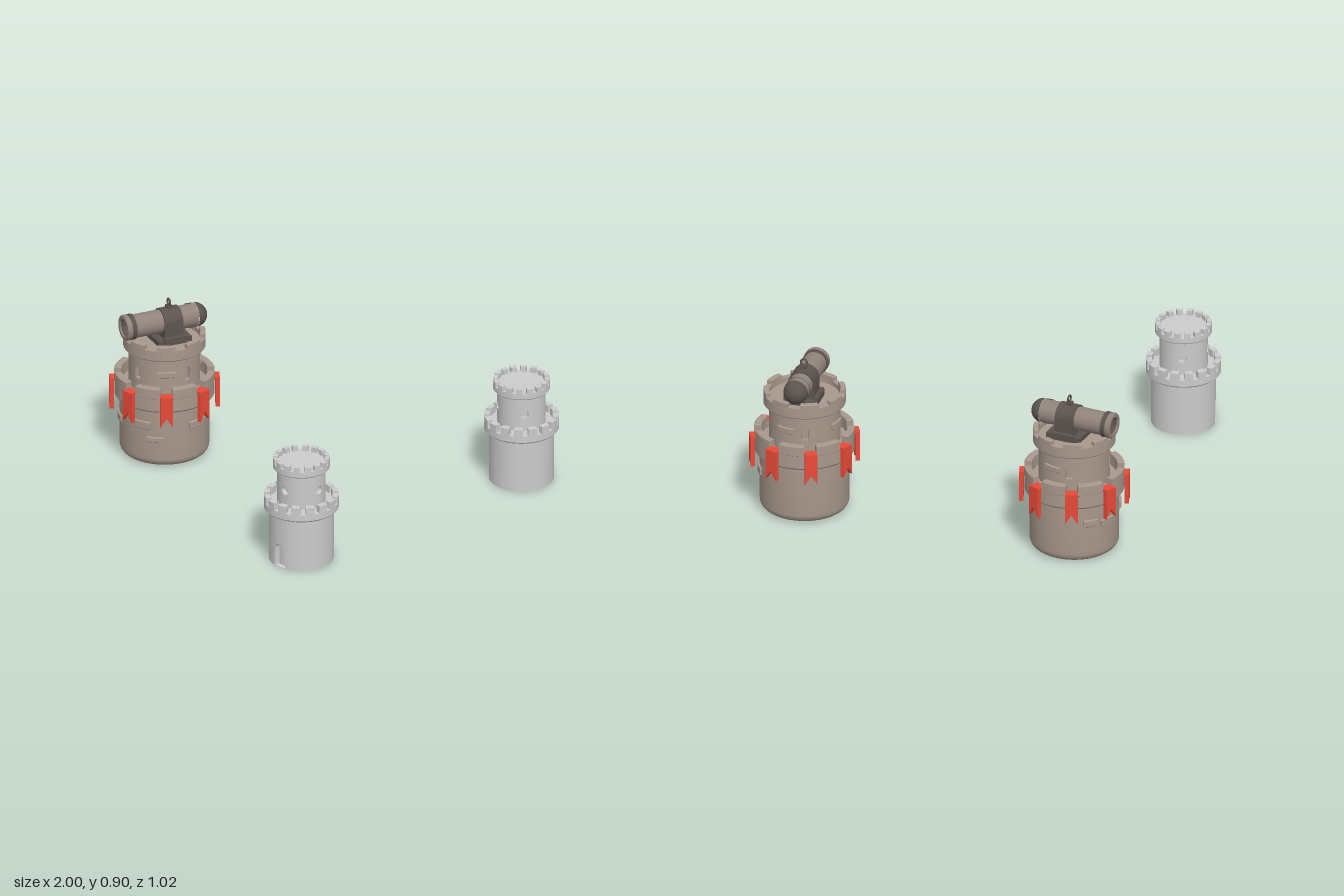
import * as THREE from 'three';
import { toCreasedNormals } from 'three/addons/utils/BufferGeometryUtils.js';

const TAU = Math.PI * 2, DEG = Math.PI / 180;
const mat = (color) => new THREE.MeshStandardMaterial({ color });
const stone = mat(0xcccccc), brown = mat(0xa8988c), barrelMat = mat(0x91837b), iron = mat(0x5c534e), red = mat(0xe84a38);

function add(parent, name, geometry, material, x = 0, y = 0, z = 0) {
  const mesh = new THREE.Mesh(geometry, material);
  mesh.name = name;
  mesh.position.set(x, y, z);
  parent.add(mesh);
  return mesh;
}

function lathe(points, segments = 64) {
  return toCreasedNormals(new THREE.LatheGeometry(points.map((p) => new THREE.Vector2(...p)), segments), 0.6);
}

// Curved block: ring sector centred on angle a (0 = front, 90 = +x), in degrees
function sector(r0, r1, y0, y1, a, span, bevel = 0.003) {
  const pts = [], n = 6;
  const at = (r, k) => {
    const t = (a + span * (k / n - 0.5)) * DEG;
    return new THREE.Vector2(r * Math.sin(t), -r * Math.cos(t));
  };
  for (let k = 0; k <= n; k++) pts.push(at(r1 - bevel, k));
  for (let k = n; k >= 0; k--) pts.push(at(r0 + bevel, k));
  const g = new THREE.ExtrudeGeometry(new THREE.Shape(pts), {
    depth: y1 - y0 - 2 * bevel, bevelEnabled: true, bevelSize: bevel, bevelThickness: bevel, bevelSegments: 1,
  });
  g.rotateX(-Math.PI / 2).translate(0, y0 + bevel, 0);
  return toCreasedNormals(g, 0.5);
}

const arch = (deg, w, y0, top) => ({ a: deg * DEG, w, lo: () => y0, hi: (x) => top - w + Math.sqrt(Math.max(0, w * w - x * x)) });
const round = (deg, w, y) => ({
  a: deg * DEG, w,
  lo: (x) => y - Math.sqrt(Math.max(0, w * w - x * x)),
  hi: (x) => y + Math.sqrt(Math.max(0, w * w - x * x)),
});

// Round wall with recessed openings, built column by column
function wall(R, y0, y1, depth, openings) {
  const cols = [], pos = [], Ri = R - depth;
  for (let i = 0; i <= 64; i++) {
    const t = -0.3 + (TAU * i) / 64;
    if (!openings.some((o) => Math.abs(t - o.a) < Math.asin(o.w / R) + 1e-4)) cols.push(t);
  }
  for (const o of openings) {
    for (let k = 0; k <= 14; k++) cols.push(o.a + Math.asin((-o.w * Math.cos((k * Math.PI) / 14)) / R));
  }
  cols.sort((a, b) => a - b);
  const quad = (...c) => {
    const p = c.map(([r, t, y]) => [r * Math.sin(t), y, r * Math.cos(t)]);
    for (const i of [0, 1, 2, 0, 2, 3]) pos.push(...p[i]);
  };
  const panel = (r, s, t, a, b, c, d) => quad([r, s, a], [r, t, b], [r, t, c], [r, s, d]);
  for (let i = 0; i + 1 < cols.length; i++) {
    const s = cols[i], t = cols[i + 1], mid = (s + t) / 2;
    const o = openings.find((q) => Math.abs(mid - q.a) < Math.asin(q.w / R));
    if (!o) { panel(R, s, t, y0, y0, y1, y1); continue; }
    const xs = R * Math.sin(s - o.a), xt = R * Math.sin(t - o.a);
    const ls = o.lo(xs), lt = o.lo(xt), hs = o.hi(xs), ht = o.hi(xt);
    if (ls > y0 || lt > y0) panel(R, s, t, y0, y0, lt, ls);
    panel(R, s, t, hs, ht, y1, y1);
    panel(Ri, s, t, ls, lt, ht, hs);
    quad([R, s, ls], [R, t, lt], [Ri, t, lt], [Ri, s, ls]);
    quad([Ri, s, hs], [Ri, t, ht], [R, t, ht], [R, s, hs]);
    if (xs < -o.w + 1e-5) quad([R, s, ls], [Ri, s, ls], [Ri, s, hs], [R, s, hs]);
    if (xt > o.w - 1e-5) quad([Ri, t, lt], [R, t, lt], [R, t, ht], [Ri, t, ht]);
  }
  const g = new THREE.BufferGeometry();
  g.setAttribute('position', new THREE.Float32BufferAttribute(pos, 3));
  return toCreasedNormals(g, 0.6);
}

function merlons(parent, name, count, offset, span, r0, r1, y0, y1, material, bevel) {
  for (let i = 0; i < count; i++) {
    add(parent, name, sector(r0, r1, y0, y1, offset + (360 * i) / count, span, bevel), material);
  }
}

function smallTower() {
  const g = new THREE.Group();
  g.name = 'smallTower';
  add(g, 'lowerWall', wall(0.177, 0, 0.31, 0.03, [arch(0, 0.037, 0.002, 0.137)]), stone);
  add(g, 'floor', new THREE.CircleGeometry(0.177, 64).rotateX(Math.PI / 2), stone);
  add(g, 'gallery', lathe([[0.17, 0.298], [0.195, 0.298], [0.205, 0.308], [0.205, 0.345], [0.12, 0.345]]), stone);
  merlons(g, 'galleryMerlon', 16, 11.25, 13.5, 0.172, 0.205, 0.34, 0.387, stone, 0.001);
  add(g, 'upperWall', wall(0.132, 0.34, 0.55, 0.025, [0, 90, 180, 270].map((a) => round(a, 0.024, 0.443))), stone);
  add(g, 'crown', lathe([[0.125, 0.54], [0.148, 0.54], [0.155, 0.547], [0.155, 0.577], [0, 0.577]]), stone);
  merlons(g, 'crownMerlon', 16, 11.25, 13, 0.128, 0.155, 0.572, 0.606, stone, 0.001);
  return g;
}

function largeTower() {
  const g = new THREE.Group();
  g.name = 'largeTower';
  // Rounded base and walls
  const base = [[0, 0], [0.19, 0]];
  for (let k = 1; k <= 6; k++) {
    const t = (k * Math.PI) / 12;
    base.push([0.195 + 0.05 * Math.sin(t), 0.05 - 0.05 * Math.cos(t)]);
  }
  base.push([0.245, 0.345]);
  add(g, 'lowerWall', lathe(base), brown);
  add(g, 'gallery', lathe([[0.24, 0.338], [0.266, 0.34], [0.273, 0.349], [0.273, 0.437], [0.235, 0.437], [0.235, 0.41], [0.19, 0.41]]), brown);
  merlons(g, 'galleryMerlon', 8, 22.5, 29.5, 0.235, 0.275, 0.42, 0.482, brown, 0.004);
  add(g, 'upperWall', wall(0.195, 0.4, 0.64, 0.025, [-6, 84, 174, 264].map((a) => arch(a, 0.019, 0.485, 0.558))), brown);
  add(g, 'crown', lathe([[0.19, 0.625], [0.221, 0.625], [0.225, 0.63], [0.225, 0.687], [0.195, 0.687], [0.195, 0.66], [0, 0.66]]), brown);
  merlons(g, 'crownMerlon', 8, 0, 25, 0.195, 0.225, 0.67, 0.712, brown, 0.003);

  // Raised bricks: wall radius, angle, middle height, span in degrees, height
  for (const [r, a, y, span, h] of [
    [0.195, 46, 0.535, 28, 0.034], [0.195, 142, 0.535, 28, 0.034], [0.195, 236, 0.535, 28, 0.034],
    [0.245, -39, 0.222, 24, 0.04], [0.245, -66, 0.237, 16, 0.04], [0.245, 12, 0.247, 26, 0.045],
    [0.245, 31, 0.167, 20, 0.032], [0.245, 89, 0.237, 25, 0.045],
  ]) add(g, 'brick', sector(r - 0.02, r + 0.012, y - h / 2, y + h / 2, a, span, 0.004), brown);

  // Swallow-tailed banners draped over the gallery gaps
  const cloth = new THREE.Shape([[-0.035, 0.265], [0, 0.318], [0.035, 0.265], [0.035, 0.44], [-0.035, 0.44]].map((p) => new THREE.Vector2(...p)));
  const drop = new THREE.ExtrudeGeometry(cloth, { depth: 0.025, bevelEnabled: false });
  for (let i = 0; i < 8; i++) {
    const banner = new THREE.Group();
    banner.name = 'banner';
    banner.rotation.y = (i * TAU) / 8;
    add(banner, 'bannerCloth', drop, red, 0, 0, 0.276);
    add(banner, 'bannerFold', new THREE.BoxGeometry(0.07, 0.012, 0.058), red, 0, 0.436, 0.272);
    g.add(banner);
  }
  return g;
}

function cannon() {
  const g = new THREE.Group();
  g.name = 'cannon';
  // Barrel along z with a flared, hollow muzzle and a domed breech
  const alongZ = (points) => lathe(points, 40).rotateX(Math.PI / 2);
  add(g, 'barrel', alongZ([[0.065, -0.155], [0.065, 0.225]]), barrelMat);
  add(g, 'muzzleRing', alongZ([[0.064, 0.215], [0.072, 0.218], [0.072, 0.238], [0.066, 0.242]]), iron);
  add(g, 'muzzle', alongZ([[0.066, 0.24], [0.072, 0.246], [0.072, 0.266], [0.067, 0.272], [0.05, 0.272], [0.046, 0.264]]), barrelMat);
  add(g, 'bore', alongZ([[0.046, 0.264], [0.046, 0.15], [0, 0.15]]), iron);
  add(g, 'breech', alongZ([[0.062, -0.11], [0.068, -0.112], [0.068, -0.155]]), iron);
  add(g, 'breechDome', new THREE.SphereGeometry(0.068, 40, 16, 0, TAU, 0, Math.PI / 2).rotateX(-Math.PI / 2), iron, 0, 0, -0.155);
  // Saddle strap over the barrel and its base planks
  const strap = new THREE.Shape();
  strap.moveTo(-0.073, -0.1).lineTo(-0.073, 0);
  strap.absarc(0, 0, 0.073, Math.PI, 0, true);
  strap.lineTo(0.073, -0.1);
  const saddle = new THREE.ExtrudeGeometry(strap, { depth: 0.11, bevelEnabled: false, curveSegments: 24 });
  add(g, 'saddle', toCreasedNormals(saddle, 0.5), iron, 0, 0, -0.055);
  add(g, 'basePlate', new THREE.BoxGeometry(0.17, 0.03, 0.2), iron, 0, -0.097, 0);
  for (const s of [-1, 1]) add(g, 'sidePlank', new THREE.BoxGeometry(0.025, 0.04, 0.13), iron, s * 0.085, -0.09, 0);
  // Lifting eye
  add(g, 'eyeMount', new THREE.BoxGeometry(0.034, 0.022, 0.03), iron, 0, 0.077, 0);
  add(g, 'eyeRing', new THREE.TorusGeometry(0.018, 0.005, 10, 28), iron, 0, 0.107, 0);
  return g;
}

export function createModel() {
  const model = new THREE.Group();
  model.name = 'twoTowers';
  const large = largeTower(), small = smallTower(), gun = cannon();
  large.position.set(-0.697, 0, -0.21);
  gun.position.set(0.007, 0.771, -0.027);
  gun.rotation.y = -23 * DEG;
  large.add(gun);
  small.position.set(0.795, 0, 0.308);
  model.add(large, small);
  return model;
}
